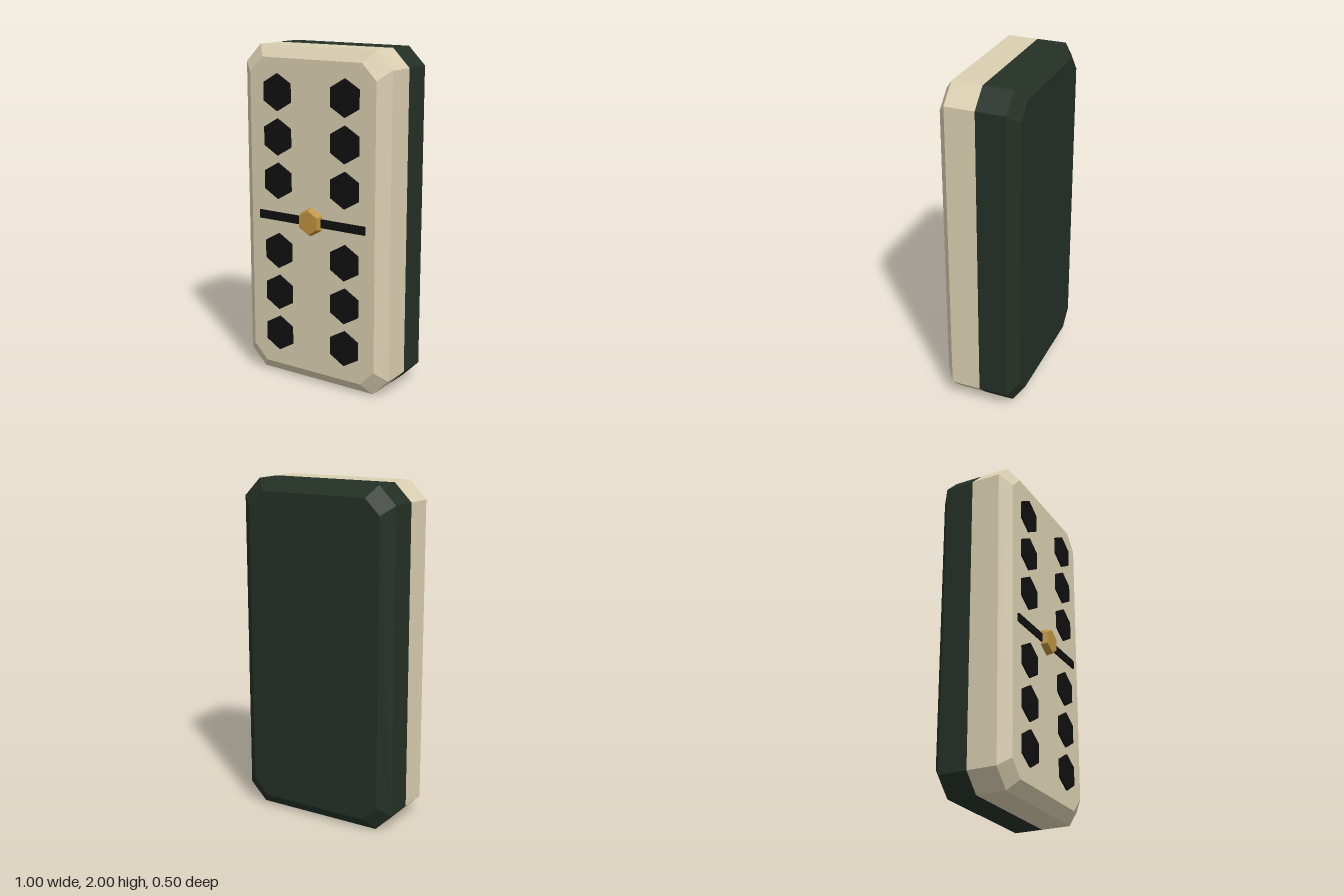
import * as THREE from 'three';

const mat = (name, color) => new THREE.MeshStandardMaterial({ name, color, flatShading: true });

// Rectangle with cut corners, counter-clockwise from the front, centred on y = 1
function ring({ w, h, cut, z }) {
  return [
    [w, -h + cut], [w, h - cut], [w - cut, h], [-w + cut, h],
    [-w, h - cut], [-w, -h + cut], [-w + cut, -h], [w - cut, -h],
  ].map(([x, y]) => [x, y + 1, z]);
}

// Joins rings from back to front, with optional end caps
function loft(sections, capBack, capFront) {
  const rings = sections.map(ring);
  const pos = [];
  const tri = (...pts) => pts.forEach((p) => pos.push(...p));
  for (let r = 0; r < rings.length - 1; r++) {
    const lo = rings[r], hi = rings[r + 1];
    for (let i = 0; i < lo.length; i++) {
      const j = (i + 1) % lo.length;
      tri(lo[i], lo[j], hi[j]);
      tri(lo[i], hi[j], hi[i]);
    }
  }
  const back = rings[0], front = rings[rings.length - 1];
  for (let i = 1; i < back.length - 1; i++) {
    if (capBack) tri(back[0], back[i + 1], back[i]);
    if (capFront) tri(front[0], front[i], front[i + 1]);
  }
  const g = new THREE.BufferGeometry();
  g.setAttribute('position', new THREE.Float32BufferAttribute(pos, 3));
  g.computeVertexNormals();
  return g;
}

// Six-sided disc facing +z with a point at the top
function hexDisc(rFront, rBack, depth) {
  return new THREE.CylinderGeometry(rFront, rBack, depth, 6).rotateX(Math.PI / 2);
}

export function createModel() {
  const ivory = mat('ivory', 0xdacfb1);
  const green = mat('dark green', 0x243026);
  const black = mat('black', 0x101011);
  const gold = mat('gold', 0xbd923f);

  const model = new THREE.Group();
  model.name = 'dominoTile';
  const add = (name, geometry, material, x, y, z) => {
    const mesh = new THREE.Mesh(geometry, material);
    mesh.name = name;
    mesh.position.set(x, y, z);
    model.add(mesh);
  };

  // Two-tone body with bevelled front and back
  const outer = { w: 0.5, h: 1, cut: 0.105 };
  const inner = { w: 0.432, h: 0.932, cut: 0.092 };
  add('frontHalf', loft([{ ...outer, z: -0.02 }, { ...outer, z: 0.157 }, { ...inner, z: 0.213 }], false, true), ivory, 0, 0, 0);
  add('backHalf', loft([{ ...inner, z: -0.25 }, { ...outer, z: -0.194 }, { ...outer, z: -0.02 }], true, false), green, 0, 0, 0);

  // Six pips on each half
  const pip = hexDisc(0.108, 0.108, 0.016);
  for (const y of [0.27, 0.53, 0.79, 1.215, 1.475, 1.735]) {
    for (const x of [-0.233, 0.233]) add('pip', pip, black, x, y, 0.217);
  }

  // Divider and centre stud
  add('divider', new THREE.BoxGeometry(0.74, 0.05, 0.016), black, 0, 1, 0.215);
  add('stud', hexDisc(0.071, 0.088, 0.042), gold, 0, 1, 0.229);

  return model;
}
